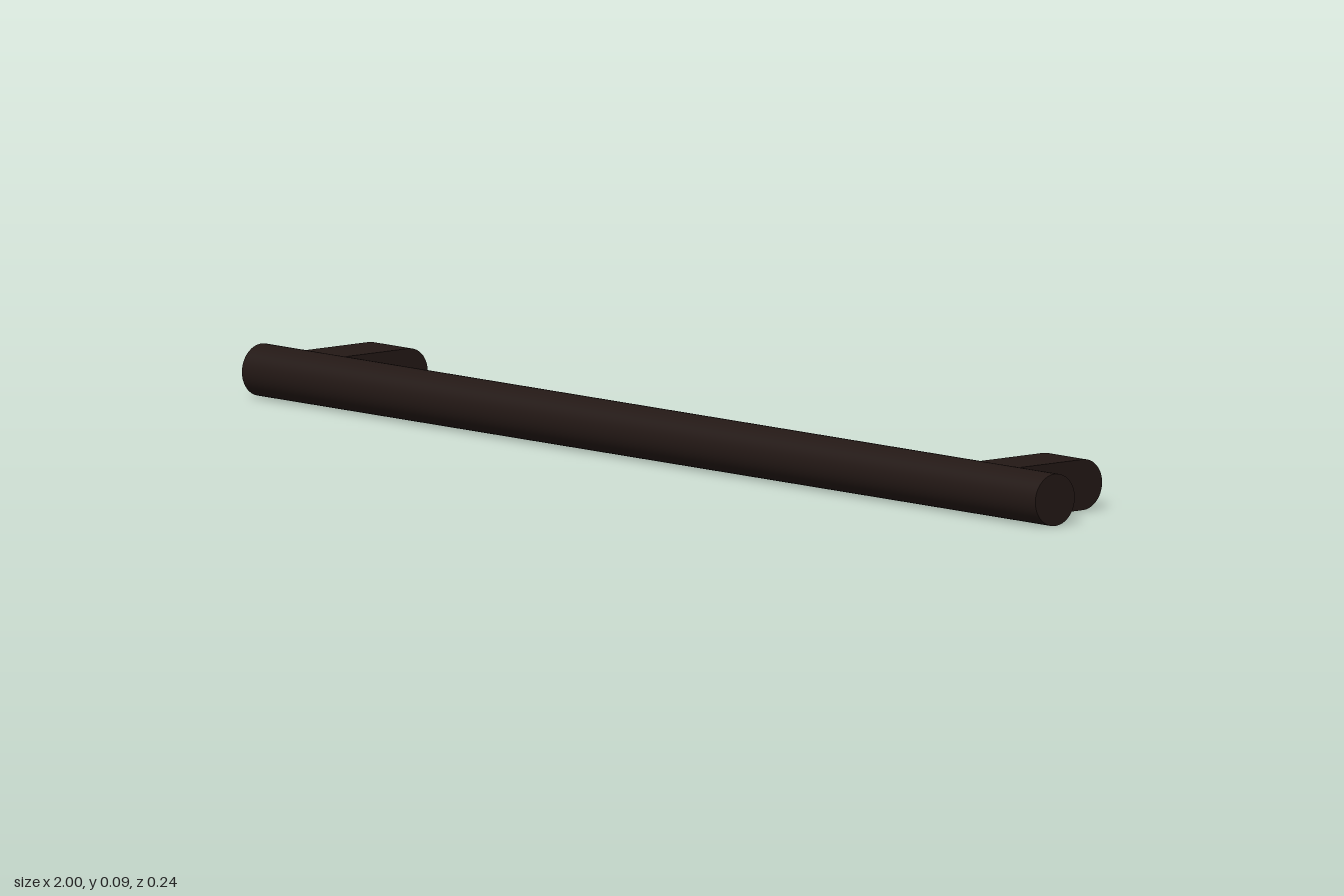
import * as THREE from 'three';
import { toCreasedNormals } from 'three/addons/utils/BufferGeometryUtils.js';

const BAR_R = 0.044, BAR_Z = 0.075;
const POST_R = 0.0428, POST_BACK = 0.0755, POST_W = 0.1;

export function createModel() {
  const group = new THREE.Group();
  group.name = 'barHandle';
  const material = new THREE.MeshStandardMaterial({ color: 0x231815 });

  // Long round grip bar
  const barGeometry = new THREE.CylinderGeometry(BAR_R, BAR_R, 2, 48);
  barGeometry.rotateZ(Math.PI / 2);
  const bar = new THREE.Mesh(barGeometry, material);
  bar.name = 'gripBar';
  bar.position.set(0, BAR_R, BAR_Z);
  group.add(bar);

  // Mounting post: flat top and bottom, rounded back, front buried in the bar
  const profile = new THREE.Shape();
  profile.moveTo(-BAR_Z, -POST_R);
  profile.lineTo(POST_BACK, -POST_R);
  profile.absarc(POST_BACK, 0, POST_R, -Math.PI / 2, Math.PI / 2, false);
  profile.lineTo(-BAR_Z, POST_R);
  profile.closePath();
  const extruded = new THREE.ExtrudeGeometry(profile, { depth: POST_W, bevelEnabled: false, curveSegments: 24 });
  extruded.translate(0, 0, -POST_W / 2);
  extruded.rotateY(Math.PI / 2);
  const postGeometry = toCreasedNormals(extruded, Math.PI / 5);

  for (const [name, side] of [['leftPost', 1], ['rightPost', -1]]) {
    const post = new THREE.Mesh(postGeometry, material);
    post.name = name;
    post.position.set(side * 0.85, BAR_R, 0);
    group.add(post);
  }
  return group;
}
